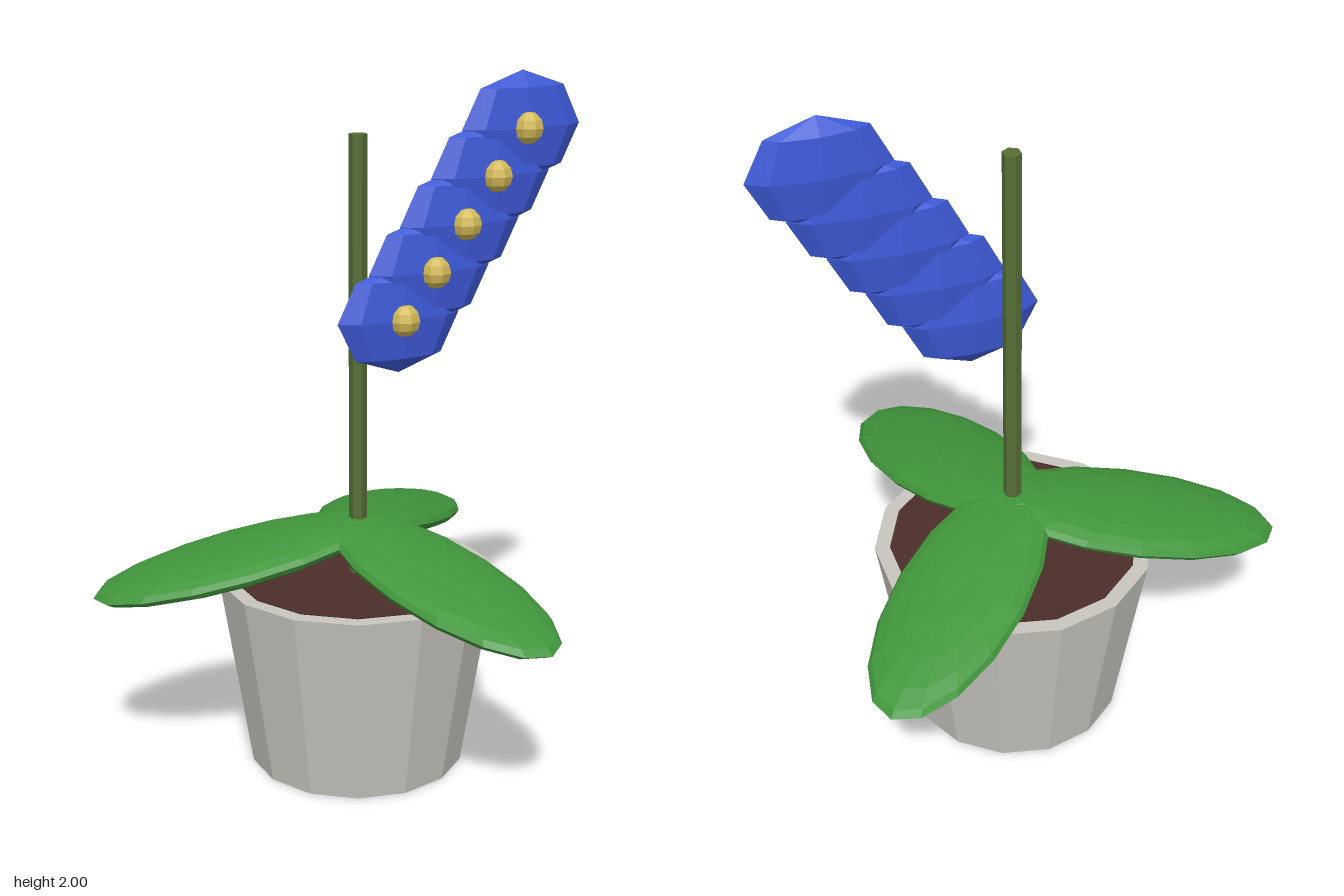
import * as THREE from 'three';

const paint = (name, color) => {
  const m = new THREE.MeshStandardMaterial({ color, flatShading: true });
  m.name = name;
  return m;
};

export function createModel() {
  const potGrey = paint('pot grey', 0xc8c6be);
  const soilBrown = paint('soil brown', 0x4c2e28);
  const leafGreen = paint('leaf green', 0x41963c);
  const stemGreen = paint('stem green', 0x566f36);
  const petalBlue = paint('petal blue', 0x3d59d6);
  const pollenYellow = paint('pollen yellow', 0xd2b957);

  const model = new THREE.Group();
  model.name = 'pottedFlower';
  const add = (parent, name, geometry, material, x, y, z) => {
    const mesh = new THREE.Mesh(geometry, material);
    mesh.name = name;
    mesh.position.set(x, y, z);
    parent.add(mesh);
    return mesh;
  };

  // Everything except the blossom stands on the pot's axis
  const plant = new THREE.Group();
  plant.name = 'plant';
  plant.position.set(0.037, 0, -0.082);
  model.add(plant);

  // Tapered pot with a thin layer of soil
  add(plant, 'pot', new THREE.CylinderGeometry(0.404, 0.314, 0.572, 14), potGrey, 0, 0.286, 0);
  add(plant, 'soil', new THREE.CylinderGeometry(0.36, 0.36, 0.006, 14), soilBrown, 0, 0.572, 0);

  // Upright stem
  add(plant, 'stem', new THREE.CylinderGeometry(0.026, 0.026, 1.275, 6), stemGreen, 0.002, 1.2075, 0.005);

  // Three drooping leaves, a third of a turn apart
  const leafShape = new THREE.SphereGeometry(1, 16, 10).scale(0.19, 0.05, 0.43);
  for (let i = 0; i < 3; i++) {
    const arm = new THREE.Group();
    arm.name = 'leafArm' + (i + 1);
    arm.rotation.y = THREE.MathUtils.degToRad(16 + 120 * i);
    plant.add(arm);
    add(arm, 'leaf', leafShape, leafGreen, 0, 0.642, 0.345).rotation.x = THREE.MathUtils.degToRad(12);
  }

  // Slanting row of flat blossoms, each with a yellow centre in front
  const petalShape = new THREE.SphereGeometry(1, 8, 4).scale(0.19, 0.156, 0.046);
  const centreShape = new THREE.SphereGeometry(0.047, 8, 6);
  for (let i = 0; i < 5; i++) {
    const x = 0.133 + 0.0955 * i;
    const y = 1.336 + 0.127 * i;
    add(model, 'blossom' + (i + 1), petalShape, petalBlue, x, y, -0.01);
    add(model, 'blossomCentre' + (i + 1), centreShape, pollenYellow, x, y, 0.021);
  }
  return model;
}
